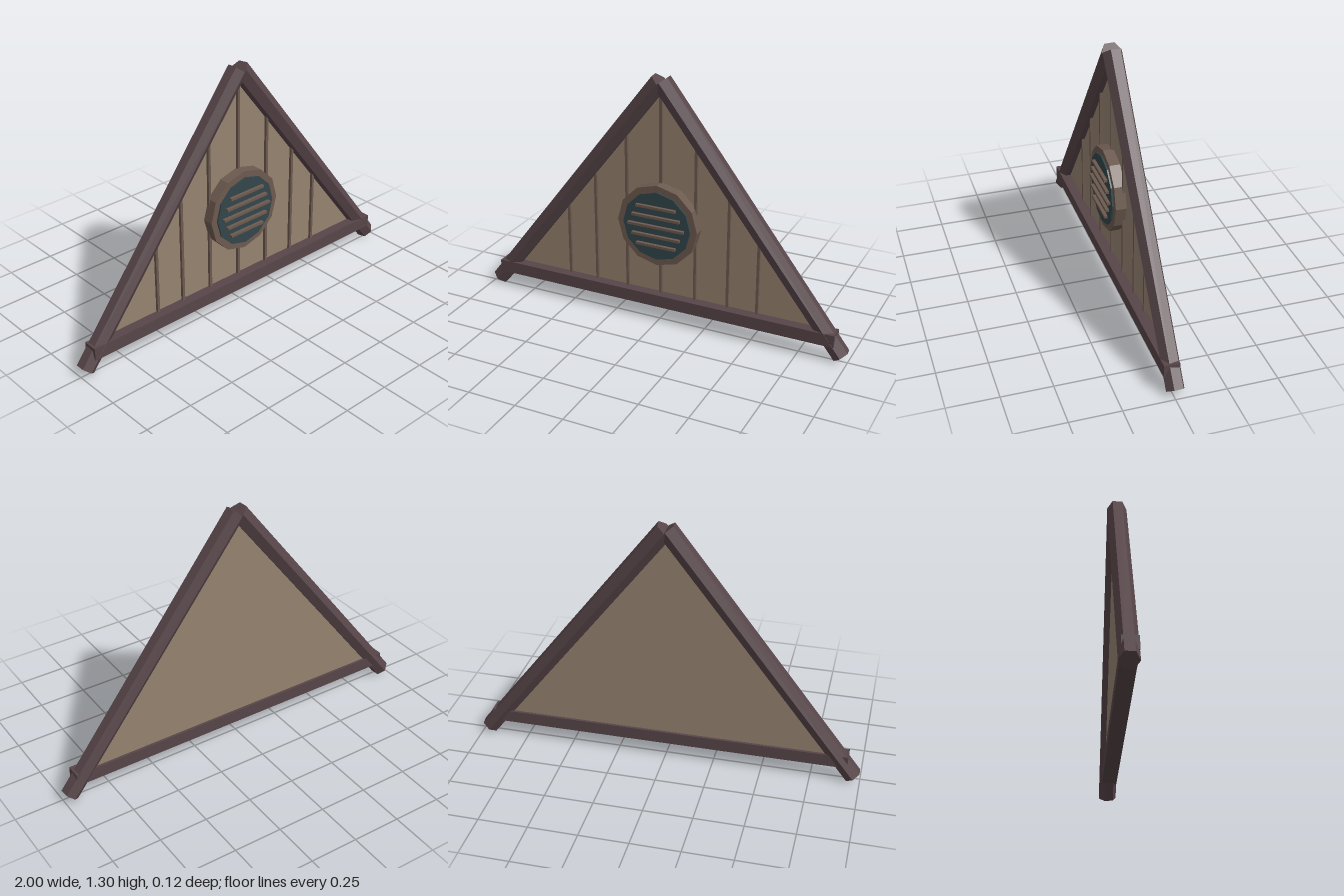
import * as THREE from 'three';

export function createModel() {
  const group = new THREE.Group();
  const mat = (name, color) => {
    const m = new THREE.MeshStandardMaterial({ color });
    m.name = name;
    return m;
  };
  const beamWood = mat('dark beam wood', 0x574549);
  const panelWood = mat('pale panel wood', 0x96836f);
  const trimWood = mat('brown trim wood', 0x6c5a4f);
  const ventDark = mat('dark teal vent', 0x33464b);

  // Adds a faceted mesh
  const add = (name, geometry, material, x = 0, y = 0, z = 0) => {
    const g = geometry.index ? geometry.toNonIndexed() : geometry;
    g.computeVertexNormals();
    const mesh = new THREE.Mesh(g, material);
    mesh.name = name;
    mesh.position.set(x, y, z);
    group.add(mesh);
    return mesh;
  };
  const box = (name, w, h, d, material, x, y, z) =>
    add(name, new THREE.BoxGeometry(w, h, d), material, x, y, z);

  // Sloping six-sided roof beams, each rolled a little about its axis
  const foot = { x: 0.965, y: 0.028 }, tip = { x: 0.004, y: 1.277 };
  const run = foot.x - tip.x, rise = tip.y - foot.y;
  for (const [name, side, roll] of [['leftRakeBeam', 1, 0.15], ['rightRakeBeam', -1, 0.04]]) {
    const beam = add(name,
      new THREE.CylinderGeometry(0.05, 0.0465, Math.hypot(run, rise), 6, 1, false, roll),
      beamWood, side * (foot.x + tip.x) / 2, (foot.y + tip.y) / 2, -0.01);
    beam.rotation.z = side * Math.atan2(run, rise);
  }

  // Horizontal tie beam
  box('tieBeam', 1.87, 0.065, 0.077, beamWood, 0, 0.118, -0.003);

  // Triangular infill panel, tucked into the beams
  const slopeY = x => tip.y - (Math.abs(x) - tip.x) * rise / run;
  const base = 0.12;
  const half = tip.x + (tip.y - base) * run / rise;
  const triangle = new THREE.Shape([
    new THREE.Vector2(-half, base), new THREE.Vector2(half, base), new THREE.Vector2(0, slopeY(0) - 0.01),
  ]);
  add('gablePanel', new THREE.ExtrudeGeometry(triangle, { depth: 0.01, bevelEnabled: false }),
    panelWood, 0, 0, -0.028);

  // Vertical battens over the panel joints
  for (const x of [-0.523, -0.365, -0.188, 0, 0.188, 0.365, 0.523]) {
    const top = slopeY(x) - 0.03;
    box('batten', 0.014, top - base, 0.016, trimWood, x, (top + base) / 2, -0.012);
  }

  // Round vent: twelve-sided surround, dark face and five slats
  const ventY = 0.541;
  const disc = (name, r, back, front, material) => {
    const g = new THREE.CylinderGeometry(r, r, front - back, 12);
    g.rotateX(Math.PI / 2);
    add(name, g, material, 0, ventY, (front + back) / 2);
  };
  disc('ventSurround', 0.216, -0.02, 0.037, trimWood);
  disc('ventFace', 0.182, 0.03, 0.045, ventDark);
  [0.107, 0.13, 0.152, 0.13, 0.107].forEach((w, i) =>
    box('ventSlat', w * 2, 0.013, 0.02, trimWood, 0, ventY + (i - 2) * 0.0515, 0.052));

  return group;
}
